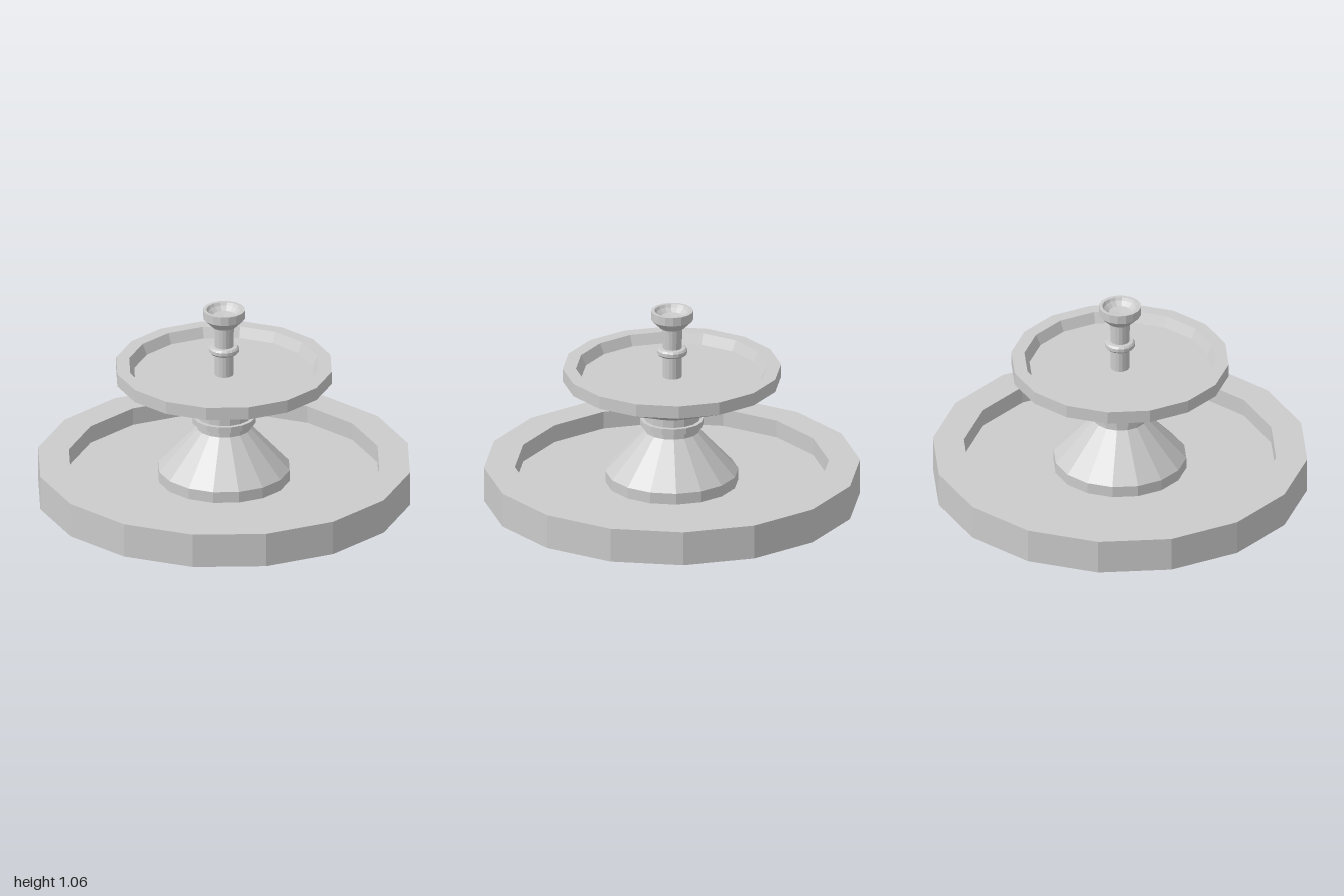
import * as THREE from 'three';

const SIDES = 16;
const stone = new THREE.MeshStandardMaterial({
  color: 0xcccccc, flatShading: true, side: THREE.DoubleSide,
});

// Turned part from [radius, height] pairs, listed from the bottom outside upward
function turned(name, profile) {
  const points = profile.map(([r, y]) => new THREE.Vector2(r, y));
  const mesh = new THREE.Mesh(new THREE.LatheGeometry(points, SIDES), stone);
  mesh.name = name;
  return mesh;
}

export function createModel() {
  const fountain = new THREE.Group();
  fountain.name = 'fountain';

  fountain.add(
    // Wide basin, hollow below, floor open under the pedestal
    turned('basin', [
      [1, 0], [1, 0.187], [0.835, 0.187], [0.835, 0.092], [0.354, 0.092],
    ]),

    // Flared pedestal with a short skirt and a collar
    turned('pedestal', [
      [0.354, 0.092], [0.354, 0.153], [0.145, 0.38], [0.145, 0.415],
      [0.17, 0.415], [0.17, 0.448], [0.148, 0.448], [0.148, 0.49],
    ]),

    // Upper bowl with a raised rim
    turned('upperBowl', [
      [0.148, 0.49], [0.58, 0.67], [0.58, 0.74], [0.51, 0.74],
      [0.483, 0.685], [0.05, 0.685],
    ]),

    // Slim column with a rounded ring
    turned('column', [
      [0.05, 0.685], [0.05, 0.81], [0.071, 0.81], [0.08, 0.82],
      [0.08, 0.838], [0.071, 0.848], [0.051, 0.85], [0.053, 0.965],
    ]),

    // Small cup on top
    turned('topCup', [
      [0.053, 0.965], [0.065, 0.965], [0.112, 1.012], [0.112, 1.06],
      [0.094, 1.06], [0.085, 1.045], [0.06, 1.025], [0, 1.02],
    ]),
  );
  return fountain;
}
